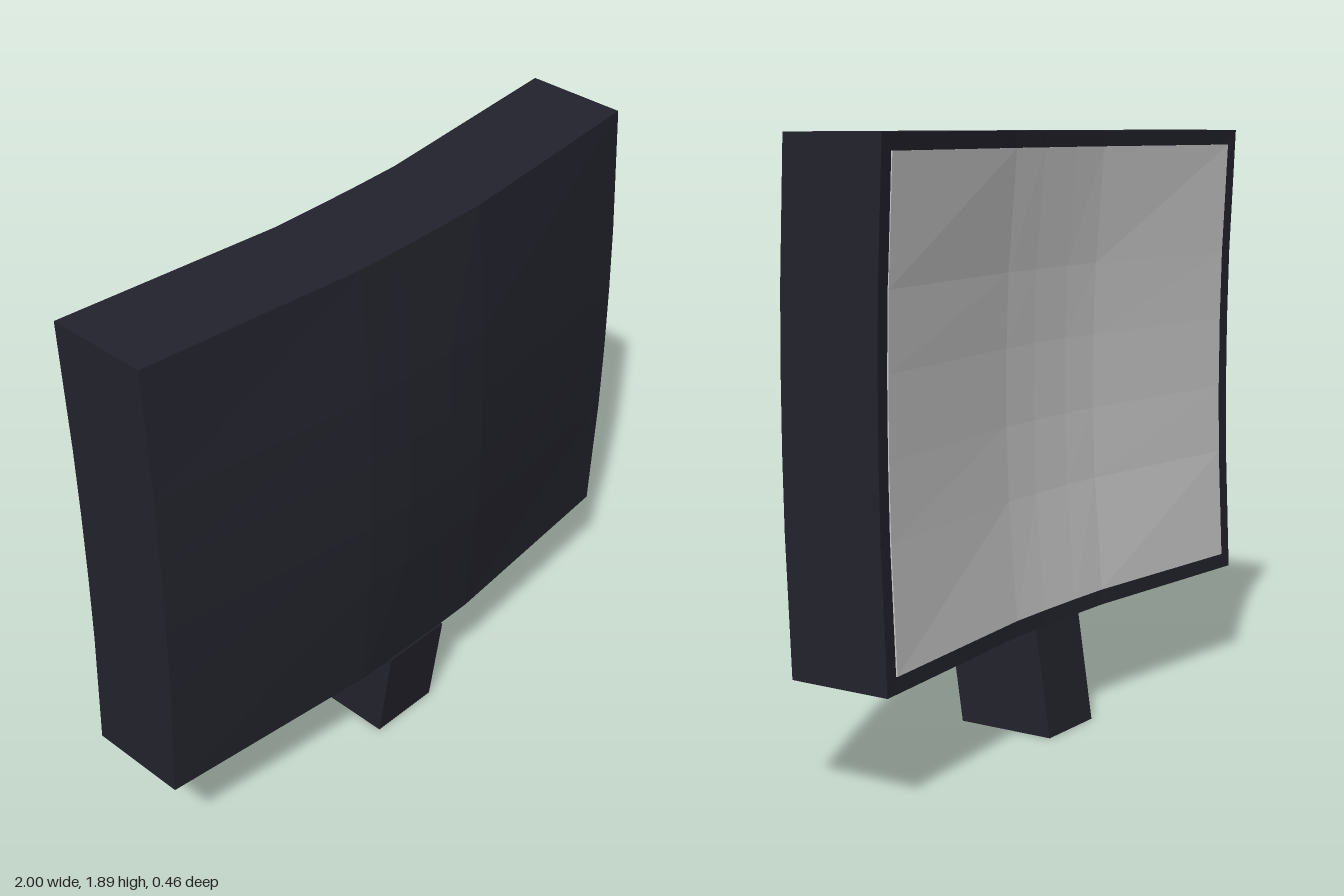
import * as THREE from 'three';

const DEPTH = 0.34, LOW = 0.35, HIGH = 1.89, MID = (LOW + HIGH) / 2;

// piecewise-linear lookup through [position, value] pairs
function lerpTable(table, t) {
  for (let i = 1; i < table.length; i++) {
    const [t0, v0] = table[i - 1], [t1, v1] = table[i];
    if (t <= t1 || i === table.length - 1) return v0 + (v1 - v0) * (t - t0) / (t1 - t0);
  }
}

// double curvature: how far the shell falls back from its middle
const dropX = [[0, 0], [0.09, 0.001], [0.25, 0.008], [1, 0.102]];
const dropY = [[0, 0], [0.12, 0.001], [0.35, 0.01], [0.77, 0.05]];
function frontZ(x, y) {
  const ax = Math.abs(x);
  return 0.235 - lerpTable(dropX, ax) - lerpTable(dropY, Math.abs(y - MID)) * (1 - 0.54 * ax);
}
const backZ = (x, y) => frontZ(x, y) - DEPTH;

// facet lines, ending at the given border inset
const columns = (inset) => [-1 + inset, -0.25, -0.09, 0.09, 0.25, 1 - inset];
const rows = (inset) => [-0.77 + inset, -0.35, -0.12, 0.12, 0.35, 0.77 - inset].map((d) => MID + d);

// curved slab between two depth functions, closed on all sides
function curvedSlab(xs, ys, zFront, zBack) {
  const pos = [];
  const quad = (a, b, c, d) => [a, b, c, a, c, d].forEach((p) => pos.push(...p));
  const F = (x, y) => [x, y, zFront(x, y)];
  const B = (x, y) => [x, y, zBack(x, y)];
  const x0 = xs[0], x1 = xs[xs.length - 1], y0 = ys[0], y1 = ys[ys.length - 1];
  for (let i = 0; i < xs.length - 1; i++) {
    const a = xs[i], b = xs[i + 1];
    for (let j = 0; j < ys.length - 1; j++) {
      const c = ys[j], d = ys[j + 1];
      quad(F(a, c), F(b, c), F(b, d), F(a, d));
      quad(B(b, c), B(a, c), B(a, d), B(b, d));
    }
    quad(F(a, y1), F(b, y1), B(b, y1), B(a, y1));
    quad(B(a, y0), B(b, y0), F(b, y0), F(a, y0));
  }
  for (let j = 0; j < ys.length - 1; j++) {
    const c = ys[j], d = ys[j + 1];
    quad(F(x1, c), B(x1, c), B(x1, d), F(x1, d));
    quad(B(x0, c), F(x0, c), F(x0, d), B(x0, d));
  }
  const geo = new THREE.BufferGeometry();
  geo.setAttribute('position', new THREE.Float32BufferAttribute(pos, 3));
  geo.computeVertexNormals();
  return geo;
}

export function createModel() {
  const casing = new THREE.MeshStandardMaterial({ color: 0x23232d });
  casing.name = 'dark casing';
  const glass = new THREE.MeshStandardMaterial({ color: 0xcccccc });
  glass.name = 'mirror grey';

  const model = new THREE.Group();
  model.name = 'curvedMirror';
  const add = (name, geo, mat) => {
    const mesh = new THREE.Mesh(geo, mat);
    mesh.name = name;
    model.add(mesh);
  };

  // curved housing
  add('housing', curvedSlab(columns(0), rows(0), frontZ, backZ), casing);

  // reflective plate on the back, inside a narrow rim
  add('mirrorPlate', curvedSlab(columns(0.05), rows(0.05),
    (x, y) => backZ(x, y) + 0.002, (x, y) => backZ(x, y) - 0.004), glass);

  // mounting stem, leaning forward towards the housing
  const stem = new THREE.BoxGeometry(0.25, LOW, 0.335);
  stem.translate(0, LOW / 2, -0.028);
  const p = stem.attributes.position;
  for (let i = 0; i < p.count; i++) p.setZ(i, p.getZ(i) + p.getY(i) * 0.15);
  stem.computeVertexNormals();
  add('stem', stem, casing);

  return model;
}
